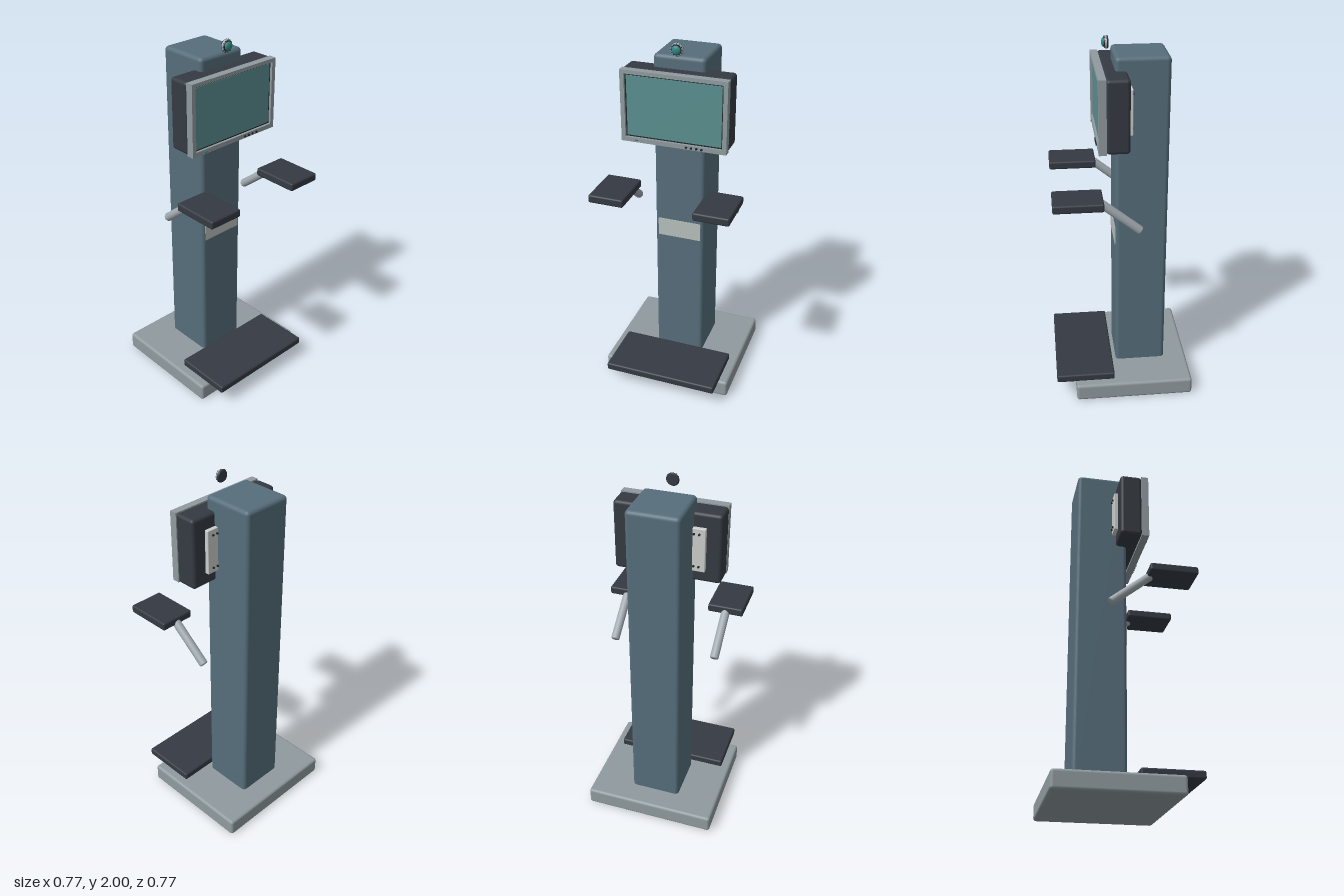
import * as THREE from 'three';
import { RoundedBoxGeometry } from 'three/addons/geometries/RoundedBoxGeometry.js';

const paint = (name, color) => {
  const m = new THREE.MeshStandardMaterial({ color });
  m.name = name;
  return m;
};

export function createModel() {
  const mats = {
    column: paint('slate blue', 0x566e7b),
    base: paint('warm grey', 0x909b9f),
    dark: paint('charcoal', 0x353a42),
    metal: paint('light steel', 0xa1aab0),
    screen: paint('screen teal', 0x5b8f90),
    plate: paint('pale grey', 0xb9c0be),
    mount: paint('off white', 0xcbcecb),
    black: paint('near black', 0x22272b),
    lens: paint('lens teal', 0x2f8583),
  };
  const model = new THREE.Group();
  model.name = 'kiosk';

  const add = (name, geometry, mat, parent = model) => {
    const mesh = new THREE.Mesh(geometry, mat);
    mesh.name = name;
    parent.add(mesh);
    return mesh;
  };
  // Box given by its limits on each axis, with optional rounded edges
  const box = (name, [x0, x1], [y0, y1], [z0, z1], mat, r = 0, parent = model) => {
    const s = [x1 - x0, y1 - y0, z1 - z0];
    const g = r ? new RoundedBoxGeometry(...s, 3, r) : new THREE.BoxGeometry(...s);
    const mesh = add(name, g, mat, parent);
    mesh.position.set((x0 + x1) / 2, (y0 + y1) / 2, (z0 + z1) / 2);
    return mesh;
  };
  // Cylinder lying along z
  const disc = (name, x, y, z0, z1, r0, r1, mat, parent, sides = 24) => {
    const g = new THREE.CylinderGeometry(r1, r0, z1 - z0, sides).rotateX(Math.PI / 2);
    const mesh = add(name, g, mat, parent);
    mesh.position.set(x, y, (z0 + z1) / 2);
    return mesh;
  };

  // Floor base, foot platform, column and label
  box('base', [-0.375, 0.375], [0, 0.1], [-0.386, 0.275], mats.base, 0.016);
  box('footPlatform', [-0.325, 0.325], [0.095, 0.139], [0.055, 0.384], mats.dark, 0.01);
  box('column', [-0.142, 0.142], [0.08, 1.922], [-0.255, 0.031], mats.column, 0.022);
  box('labelPlate', [-0.123, 0.123], [0.867, 0.973], [0.029, 0.034], mats.plate);

  // Arm rests on slanted round struts
  const low = new THREE.Vector3(0, 1.032, -0.088);
  const high = new THREE.Vector3(0, 1.208, 0.13);
  const dir = high.clone().sub(low);
  const len = dir.length();
  const R = 0.0235, b = 0.006;
  const profile = [[0, 0], [R - b, 0], [R - b * 0.3, b * 0.3], [R, b], [R, len - b], [R - b, len], [0, len]]
    .map(([x, y]) => new THREE.Vector2(x, y));
  for (const [side, s] of [['left', 1], ['right', -1]]) {
    const arm = new THREE.Group();
    arm.name = side + 'Arm';
    model.add(arm);
    const strut = add('strut', new THREE.LatheGeometry(profile, 24), mats.metal, arm);
    strut.position.set(s * 0.287, low.y, low.z);
    strut.quaternion.setFromUnitVectors(new THREE.Vector3(0, 1, 0), dir.clone().normalize());
    const xs = [s * 0.189, s * 0.385].sort((p, q) => p - q);
    box('armPad', xs, [1.195, 1.24], [0.11, 0.374], mats.dark, 0.01, arm);
  }

  // Monitor housing
  const monitor = new THREE.Group();
  monitor.name = 'monitor';
  model.add(monitor);
  box('housing', [-0.29, 0.29], [1.466, 1.853], [-0.032, 0.09], mats.dark, 0.018, monitor);

  // Bezel with a rectangular opening
  const rect = (Type, w, y0, y1) => {
    const p = new Type();
    p.moveTo(-w, y0);
    p.lineTo(w, y0);
    p.lineTo(w, y1);
    p.lineTo(-w, y1);
    p.closePath();
    return p;
  };
  const frame = rect(THREE.Shape, 0.288, 1.464, 1.854);
  frame.holes.push(rect(THREE.Path, 0.265, 1.489, 1.834));
  const bezel = add('bezel', new THREE.ExtrudeGeometry(frame, { depth: 0.041, bevelEnabled: false }), mats.base, monitor);
  bezel.position.z = 0.088;

  // Recessed screen with a dark border
  box('screenBorder', [-0.265, 0.265], [1.489, 1.834], [0.088, 0.115], mats.black, 0, monitor);
  box('screen', [-0.257, 0.257], [1.497, 1.825], [0.114, 0.118], mats.screen, 0, monitor);

  // Buttons and status light
  for (const x of [0.073, 0.1, 0.128, 0.156]) {
    disc('button', x, 1.476, 0.127, 0.135, 0.006, 0.006, mats.black, monitor, 12);
  }
  box('statusLight', [-0.211, -0.196], [1.473, 1.479], [0.127, 0.134], mats.lens, 0, monitor);

  // Rear mounting plate with bolts
  box('mountPlate', [-0.21, 0.21], [1.535, 1.778], [-0.054, -0.03], mats.mount, 0.004, monitor);
  for (const x of [-0.178, 0.178, -0.15, 0.15]) {
    for (const y of [1.565, 1.748]) {
      disc('mountBolt', x, y, -0.061, -0.05, 0.006, 0.006, mats.black, monitor, 12);
    }
  }

  // Small camera above the column
  const camera = new THREE.Group();
  camera.name = 'cameraUnit';
  camera.position.set(0, 1.967, 0);
  model.add(camera);
  disc('cameraBack', 0, 0, 0.054, 0.062, 0.03, 0.035, mats.dark, camera, 32);
  disc('cameraRing', 0, 0, 0.062, 0.072, 0.034, 0.031, mats.metal, camera, 32);
  disc('cameraCollar', 0, 0, 0.072, 0.077, 0.028, 0.026, mats.black, camera, 32);
  const dome = new THREE.SphereGeometry(0.024, 24, 8, 0, Math.PI * 2, 0, Math.PI / 2).rotateX(Math.PI / 2);
  const lens = add('cameraLens', dome, mats.lens, camera);
  lens.scale.z = 0.5;
  lens.position.z = 0.077;
  for (let i = 0; i < 12; i++) {
    const a = (i / 12) * Math.PI * 2;
    disc('ringStud', Math.cos(a) * 0.0305, Math.sin(a) * 0.0305, 0.068, 0.074, 0.002, 0.002, mats.black, camera, 8);
  }

  return model;
}
